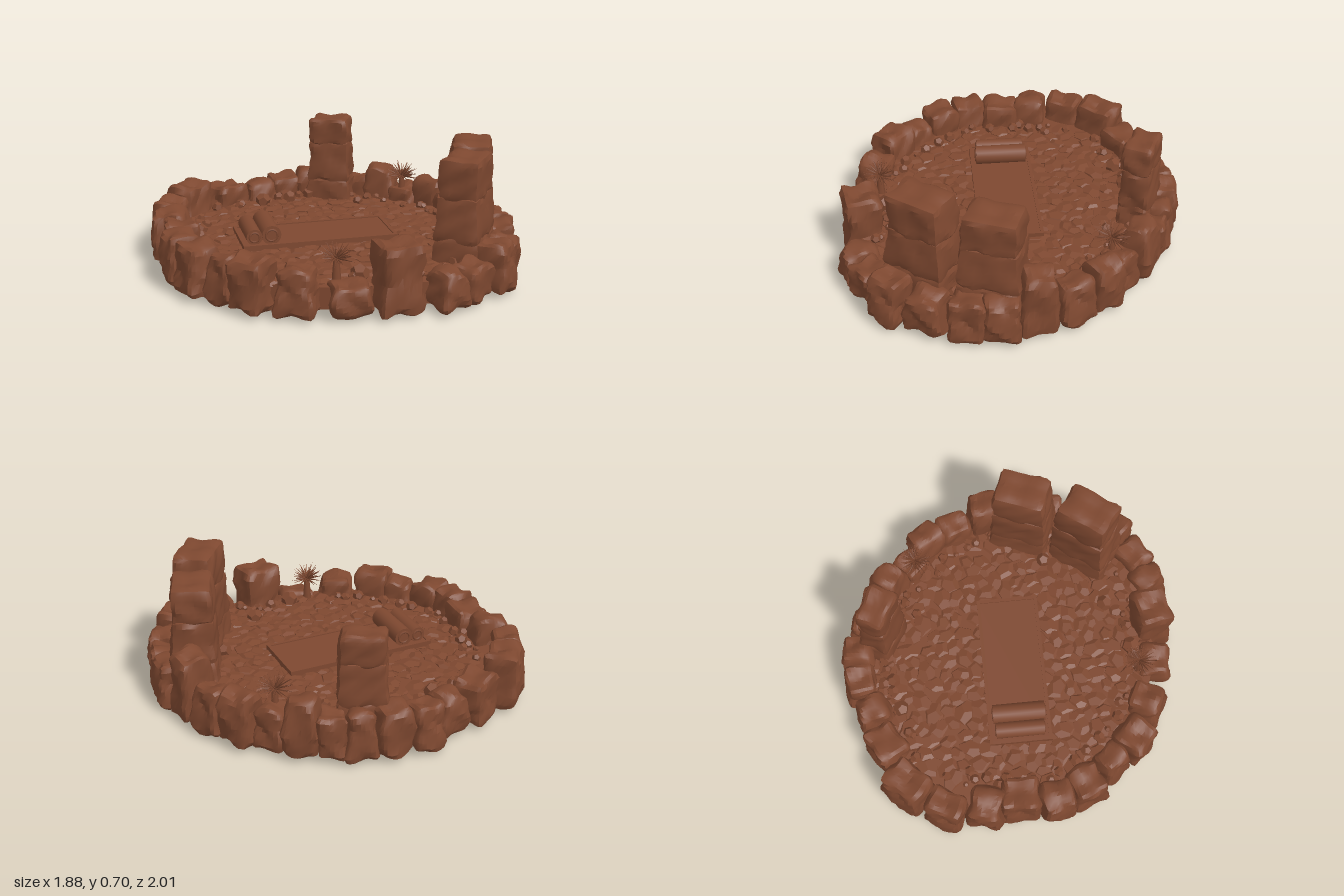
import * as THREE from 'three';
import { mergeGeometries, toCreasedNormals } from 'three/addons/utils/BufferGeometryUtils.js';

const FLOOR = 0.14;

// Outer stones in order round the ring: x, z, width along ring, depth, top height
const STONES = [
  [-0.32, -0.88, 0.26, 0.21, 0.30], [-0.07, -0.86, 0.23, 0.19, 0.25], [0.14, -0.82, 0.19, 0.18, 0.24],
  [0.31, -0.80, 0.19, 0.18, 0.25], [0.46, -0.72, 0.18, 0.18, 0.28], [0.58, -0.61, 0.16, 0.16, 0.26],
  [0.66, -0.50, 0.16, 0.16, 0.25], [0.73, -0.37, 0.18, 0.18, 0.32], [0.76, -0.21, 0.18, 0.18, 0.23],
  [0.84, -0.06, 0.20, 0.17, 0.29], [0.83, 0.12, 0.20, 0.18, 0.25], [0.79, 0.31, 0.20, 0.19, 0.36],
  [0.75, 0.49, 0.20, 0.19, 0.25], [0.65, 0.62, 0.20, 0.20, 0.24], [0.50, 0.77, 0.21, 0.20, 0.23],
  [0.33, 0.88, 0.20, 0.21, 0.26], [0.14, 0.90, 0.19, 0.18, 0.20], [-0.02, 0.88, 0.17, 0.20, 0.20],
  [-0.23, 0.75, 0.24, 0.21, 0.355], [-0.44, 0.64, 0.20, 0.18, 0.17], [-0.62, 0.46, 0.21, 0.20, 0.24],
  [-0.76, 0.28, 0.21, 0.20, 0.28], [-0.79, 0.11, 0.17, 0.17, 0.25], [-0.83, -0.08, 0.21, 0.20, 0.27],
  [-0.81, -0.25, 0.19, 0.20, 0.28], [-0.70, -0.41, 0.22, 0.20, 0.27], [-0.64, -0.59, 0.20, 0.20, 0.28],
  [-0.53, -0.77, 0.22, 0.18, 0.27],
];

// Seeded random numbers
function makeRandom(seed) {
  return () => {
    seed = (seed * 16807) % 2147483647;
    return seed / 2147483647;
  };
}

// Worn block standing on y = 0: rounded edges, tapered upward, gently uneven
function blockGeometry(w, h, d, taper, seed, round = 0.035, rough = 0.009) {
  const geo = new THREE.BoxGeometry(w, h, d, 7, 7, 7);
  const pos = geo.attributes.position;
  const p = new THREE.Vector3(), inner = new THREE.Vector3();
  const core = new THREE.Vector3(w / 2 - round, h / 2 - round, d / 2 - round);
  for (let i = 0; i < pos.count; i++) {
    p.fromBufferAttribute(pos, i);
    inner.copy(p).clamp(core.clone().negate(), core);
    p.sub(inner).setLength(round).add(inner);
    const { x, y, z } = p;
    const n = rough * (Math.sin(31 * x + 17 * y + seed * 2.1) + Math.sin(37 * z - 23 * y + seed * 3.7)
      + 0.7 * Math.sin(61 * y + 43 * x - 29 * z + seed));
    p.addScaledVector(p.clone().normalize(), n);
    const k = THREE.MathUtils.lerp(1, taper, y / h + 0.5);
    pos.setXYZ(i, p.x * k, p.y + h / 2, p.z * k);
  }
  return toCreasedNormals(geo, 0.55);
}

export function createModel() {
  const model = new THREE.Group();
  const clay = new THREE.MeshStandardMaterial({ color: 0x7e4830 });
  clay.name = 'red brown clay';
  const random = makeRandom(4711);

  function add(name, geometry, parent = model) {
    const mesh = new THREE.Mesh(geometry, clay);
    mesh.name = name;
    parent.add(mesh);
    return mesh;
  }

  // Ground slab whose outline runs through the ring stones
  const outline = new THREE.Shape(STONES.map(([x, z]) => new THREE.Vector2(x, -z)));
  const slab = new THREE.ExtrudeGeometry(outline, { depth: FLOOR - 0.025, bevelEnabled: false });
  add('ground', slab.rotateX(-Math.PI / 2).translate(0, 0.025, 0));

  // Ring of boundary stones
  const ring = new THREE.Group();
  ring.name = 'stoneRing';
  model.add(ring);
  STONES.forEach(([x, z, w, d, top], i) => {
    const stone = add('ringStone', blockGeometry(w, top - 0.01, d, 0.87, i + 1), ring);
    stone.position.set(x, 0.01, z);
    stone.rotation.y = Math.atan2(x, z);
  });

  // Standing pillars, each made of three stacked courses
  function pillar(x, z, yaw, w, d, height, seed) {
    const group = new THREE.Group();
    group.name = 'pillar';
    group.position.set(x, 0, z);
    group.rotation.y = yaw;
    model.add(group);
    const courses = [[0.08, 0.28, 1.18], [0.25, 0.49, 1.13], [0.46, height, 1.04]];
    courses.forEach(([low, high, size], i) => {
      const geo = blockGeometry(w * size, high - low, d * size, 0.92, seed + i, 0.028, 0.006);
      add('pillarCourse', geo, group).position.y = low;
    });
  }
  pillar(0.32, 0.68, 0.455, 0.30, 0.215, 0.68, 3);
  pillar(0.61, 0.45, 0.72, 0.29, 0.215, 0.665, 8);
  pillar(0.48, -0.55, -0.963, 0.225, 0.155, 0.63, 15);

  // Cobbled floor: flattened, half sunk stones on a jittered grid
  const cobbles = [];
  function lump(x, y, z, sx, sy, sz) {
    const geo = new THREE.DodecahedronGeometry(1, 0);
    geo.rotateX(random() * 3).rotateZ(random() * 3).scale(sx, sy, sz);
    return geo.rotateY(random() * 6).translate(x, y, z);
  }
  for (let i = -9; i <= 9; i++) {
    for (let j = -10; j <= 10; j++) {
      const x = (i + (j % 2) * 0.5 + random() * 0.5 - 0.25) * 0.085;
      const z = (j + random() * 0.5 - 0.25) * 0.08;
      if ((x / 0.76) ** 2 + (z / 0.82) ** 2 > 1) continue;
      const r = 0.045 + random() * 0.025;
      cobbles.push(lump(x, FLOOR - 0.003, z, r * 1.15, 0.013 + random() * 0.008, r * 0.85));
    }
  }
  add('cobbledFloor', mergeGeometries(cobbles).toNonIndexed?.() ?? mergeGeometries(cobbles));

  // Loose pebbles: a few in the open and many along the inside of the ring
  const pebbles = [[0.07, -0.69, 0.045], [0.23, -0.64, 0.04], [0.36, -0.61, 0.045], [-0.02, 0.59, 0.045],
    [0.39, 0.45, 0.04], [-0.31, 0.57, 0.05], [-0.51, -0.50, 0.035], [-0.43, -0.56, 0.03], [0.50, -0.33, 0.03]]
    .map(([x, z, r]) => lump(x, FLOOR + r * 0.5, z, r, r, r));
  STONES.forEach(([x, z]) => {
    for (let i = 0; i < 2; i++) {
      const k = 0.82 + random() * 0.05, r = 0.016 + random() * 0.018;
      const turn = (random() - 0.5) * 0.2;
      pebbles.push(lump(x * k - z * turn, FLOOR + r * 0.6, z * k + x * turn, r, r, r));
    }
  });
  add('pebbles', mergeGeometries(pebbles));

  // Sleeping mat with a raised hem and a rolled blanket
  const bed = new THREE.Group();
  bed.name = 'bedroll';
  bed.position.set(-0.075, FLOOR, -0.05);
  bed.rotation.y = -0.475;
  model.add(bed);
  add('mat', new THREE.BoxGeometry(0.84, 0.03, 0.34), bed).position.y = 0.013;
  for (const side of [-1, 1]) {
    add('longHem', new THREE.BoxGeometry(0.84, 0.008, 0.018), bed).position.set(0, 0.03, side * 0.161);
    add('shortHem', new THREE.BoxGeometry(0.018, 0.008, 0.304), bed).position.set(side * 0.411, 0.03, 0);
  }
  for (const [x, radius, length] of [[-0.355, 0.043, 0.26], [-0.265, 0.052, 0.28]]) {
    const roll = add('blanketRoll', toCreasedNormals(new THREE.CylinderGeometry(radius, radius, length, 16), 0.6), bed);
    roll.rotation.x = Math.PI / 2;
    roll.position.set(x, 0.027 + radius * 0.9, 0);
    for (const end of [-1, 1]) {
      const rim = add('rollEnd', new THREE.TorusGeometry(radius * 0.6, 0.006, 5, 14), bed);
      rim.position.set(x, roll.position.y, end * length / 2);
    }
  }

  // Spiky plants: thin leaves fanning out of one point
  function plant(x, y, z) {
    const leaves = [];
    const up = new THREE.Vector3(0, 1, 0);
    for (let i = 0; i < 60; i++) {
      const rise = -0.25 + 1.2 * (i + 0.5) / 60;
      const turn = i * 2.39996;
      const flat = Math.sqrt(1 - rise * rise);
      const dir = new THREE.Vector3(flat * Math.cos(turn), rise, flat * Math.sin(turn));
      const length = 0.085 + random() * 0.02;
      const leaf = new THREE.ConeGeometry(0.0065, length, 4).translate(0, length / 2, 0);
      leaves.push(leaf.applyQuaternion(new THREE.Quaternion().setFromUnitVectors(up, dir)));
    }
    add('spikyPlant', mergeGeometries(leaves)).position.set(x, y, z);
    const stem = add('plantStem', new THREE.CylinderGeometry(0.015, 0.025, y - FLOOR, 7));
    stem.position.set(x, (y + FLOOR) / 2, z);
  }
  plant(-0.435, 0.265, 0.535);
  plant(0.72, 0.30, -0.19);

  return model;
}
